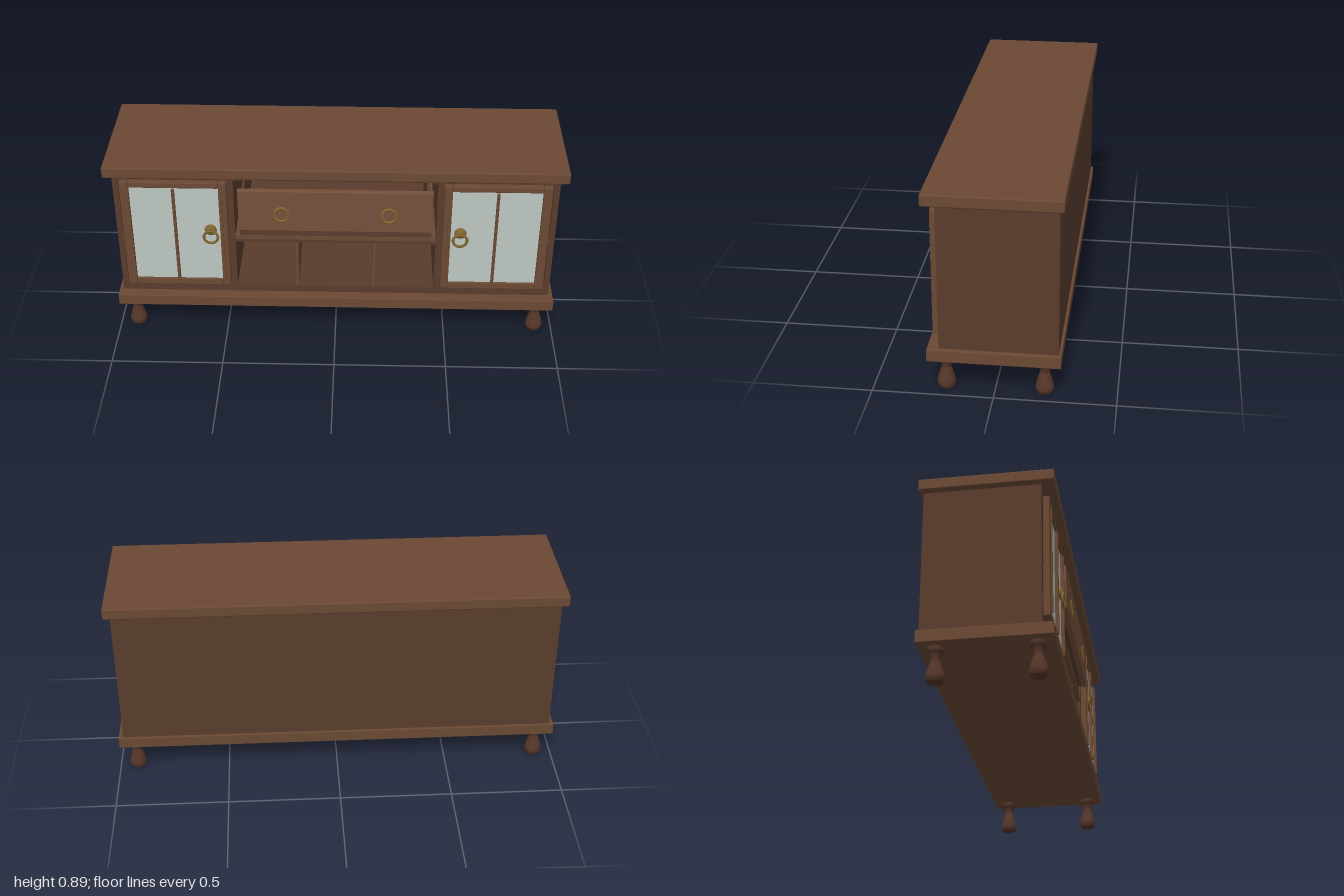
import * as THREE from 'three';
import { RoundedBoxGeometry } from 'three/addons/geometries/RoundedBoxGeometry.js';

const paint = (color) => new THREE.MeshStandardMaterial({ color });
const wood = paint(0x6b4934);
const darkWood = paint(0x593c2d);
const drawerWood = paint(0x75503b);
const legWood = paint(0x553629);
const glass = paint(0xbcc7c0);
const brass = paint(0x80652f);

function add(parent, name, geometry, material, x = 0, y = 0, z = 0) {
  const mesh = new THREE.Mesh(geometry, material);
  mesh.name = name;
  mesh.position.set(x, y, z);
  parent.add(mesh);
  return mesh;
}

// Box given by its limits; a bevel radius softens the edges.
function board(parent, name, [x0, x1], [y0, y1], [z0, z1], material, bevel = 0) {
  const size = [x1 - x0, y1 - y0, z1 - z0];
  const geometry = bevel
    ? new RoundedBoxGeometry(...size, 2, bevel)
    : new THREE.BoxGeometry(...size);
  return add(parent, name, geometry, material, (x0 + x1) / 2, (y0 + y1) / 2, (z0 + z1) / 2);
}

function createCarcass() {
  const g = new THREE.Group();
  g.name = 'carcass';
  const depth = [-0.25, 0.215];
  board(g, 'backPanel', [-0.97, 0.97], [0.2, 0.836], [-0.262, -0.25], darkWood);
  board(g, 'floor', [-0.95, 0.95], [0.2, 0.235], depth, darkWood);
  board(g, 'ceiling', [-0.95, 0.95], [0.82, 0.836], depth, darkWood);
  for (const s of [-1, 1]) {
    const span = (a, b) => (s > 0 ? [a, b] : [-b, -a]);
    board(g, 'sidePanel', span(0.945, 0.97), [0.2, 0.836], [-0.25, 0.225], darkWood);
    board(g, 'partition', span(0.445, 0.475), [0.2, 0.836], [-0.25, 0.225], darkWood);
    // Face frame around each door
    board(g, 'topRail', span(0.475, 0.945), [0.79, 0.836], [0.205, 0.225], darkWood);
    board(g, 'bottomRail', span(0.475, 0.945), [0.2, 0.26], [0.205, 0.225], darkWood);
    board(g, 'divider', span(0.166, 0.178), [0.235, 0.465], [-0.25, 0.218], wood);
  }
  board(g, 'topRail', [-0.445, 0.445], [0.8, 0.836], [0.205, 0.225], darkWood);
  board(g, 'bottomRail', [-0.445, 0.445], [0.2, 0.235], [0.205, 0.225], darkWood);
  board(g, 'shelf', [-0.445, 0.445], [0.49, 0.51], [-0.25, 0.225], wood);
  board(g, 'shelfApron', [-0.445, 0.445], [0.465, 0.49], [0.19, 0.21], darkWood);
  board(g, 'drawerRunner', [-0.425, 0.425], [0.51, 0.548], [-0.25, 0.222], darkWood);
  return g;
}

function createDrawer() {
  const g = new THREE.Group();
  g.name = 'drawer';
  board(g, 'drawerFront', [-0.425, 0.425], [0.56, 0.768], [0.235, 0.26], drawerWood, 0.004);
  board(g, 'drawerBottom', [-0.41, 0.41], [0.56, 0.57], [-0.2, 0.235], darkWood);
  board(g, 'drawerBack', [-0.41, 0.41], [0.57, 0.75], [-0.2, -0.188], darkWood);
  for (const s of [-1, 1]) {
    board(g, 'drawerSide', [s * 0.404 - 0.006, s * 0.404 + 0.006], [0.57, 0.75], [-0.188, 0.235], darkWood);
    const pull = add(g, 'drawerPull', new THREE.TorusGeometry(0.031, 0.006, 8, 28), brass, s * 0.235, 0.648, 0.26);
    pull.scale.y = 1.1;
  }
  return g;
}

// Glazed door; s is the side of the cabinet it closes.
function createDoor(s) {
  const g = new THREE.Group();
  g.name = s > 0 ? 'leftDoor' : 'rightDoor';
  const span = (a, b) => (s > 0 ? [a, b] : [-b, -a]);
  const depth = [0.225, 0.253];
  board(g, 'outerStile', span(0.897, 0.938), [0.252, 0.8], depth, wood, 0.005);
  board(g, 'innerStile', span(0.472, 0.507), [0.252, 0.8], depth, wood, 0.005);
  board(g, 'upperRail', span(0.507, 0.897), [0.772, 0.8], depth, wood, 0.004);
  board(g, 'lowerRail', span(0.507, 0.897), [0.252, 0.285], depth, wood, 0.004);
  board(g, 'mullion', span(0.699, 0.711), [0.285, 0.765], [0.235, 0.259], wood);
  board(g, 'glassPane', span(0.505, 0.899), [0.283, 0.774], [0.238, 0.244], glass);
  // Raised beads on the stiles
  board(g, 'outerBead', span(0.897, 0.906), [0.285, 0.765], [0.245, 0.259], wood);
  board(g, 'innerBead', span(0.493, 0.507), [0.285, 0.765], [0.245, 0.259], wood);
  // Knob with hanging ring
  const knob = add(g, 'knob', new THREE.SphereGeometry(0.027, 20, 12), brass, s * 0.55, 0.555, 0.25);
  knob.scale.z = 0.5;
  add(g, 'knobStem', new THREE.CylinderGeometry(0.01, 0.01, 0.016, 12).rotateX(Math.PI / 2), brass, s * 0.55, 0.555, 0.25);
  add(g, 'ring', new THREE.TorusGeometry(0.031, 0.006, 8, 28), brass, s * 0.55, 0.522, 0.26);
  // Hinge knuckle
  add(g, 'hinge', new THREE.CylinderGeometry(0.005, 0.005, 0.025, 8), wood, s * 0.941, 0.5, 0.228);
  return g;
}

export function createModel() {
  const model = new THREE.Group();
  model.name = 'sideboard';
  board(model, 'tabletop', [-1, 1], [0.836, 0.888], [-0.28, 0.28], wood, 0.007);
  board(model, 'plinth', [-0.99, 0.99], [0.147, 0.2], [-0.273, 0.273], wood, 0.003);
  model.add(createCarcass(), createDrawer(), createDoor(1), createDoor(-1));

  // Turned legs
  const profile = new THREE.SplineCurve([
    [0.033, 0.003], [0.038, 0.02], [0.034, 0.045], [0.025, 0.075],
    [0.02, 0.095], [0.026, 0.118], [0.034, 0.132], [0.035, 0.148],
  ].map(([r, y]) => new THREE.Vector2(r, y))).getPoints(24);
  const legGeometry = new THREE.LatheGeometry(
    [new THREE.Vector2(0, 0), new THREE.Vector2(0.031, 0), ...profile], 28);
  for (const x of [-0.92, 0.92])
    for (const z of [-0.202, 0.203]) add(model, 'leg', legGeometry, legWood, x, 0, z);
  return model;
}
